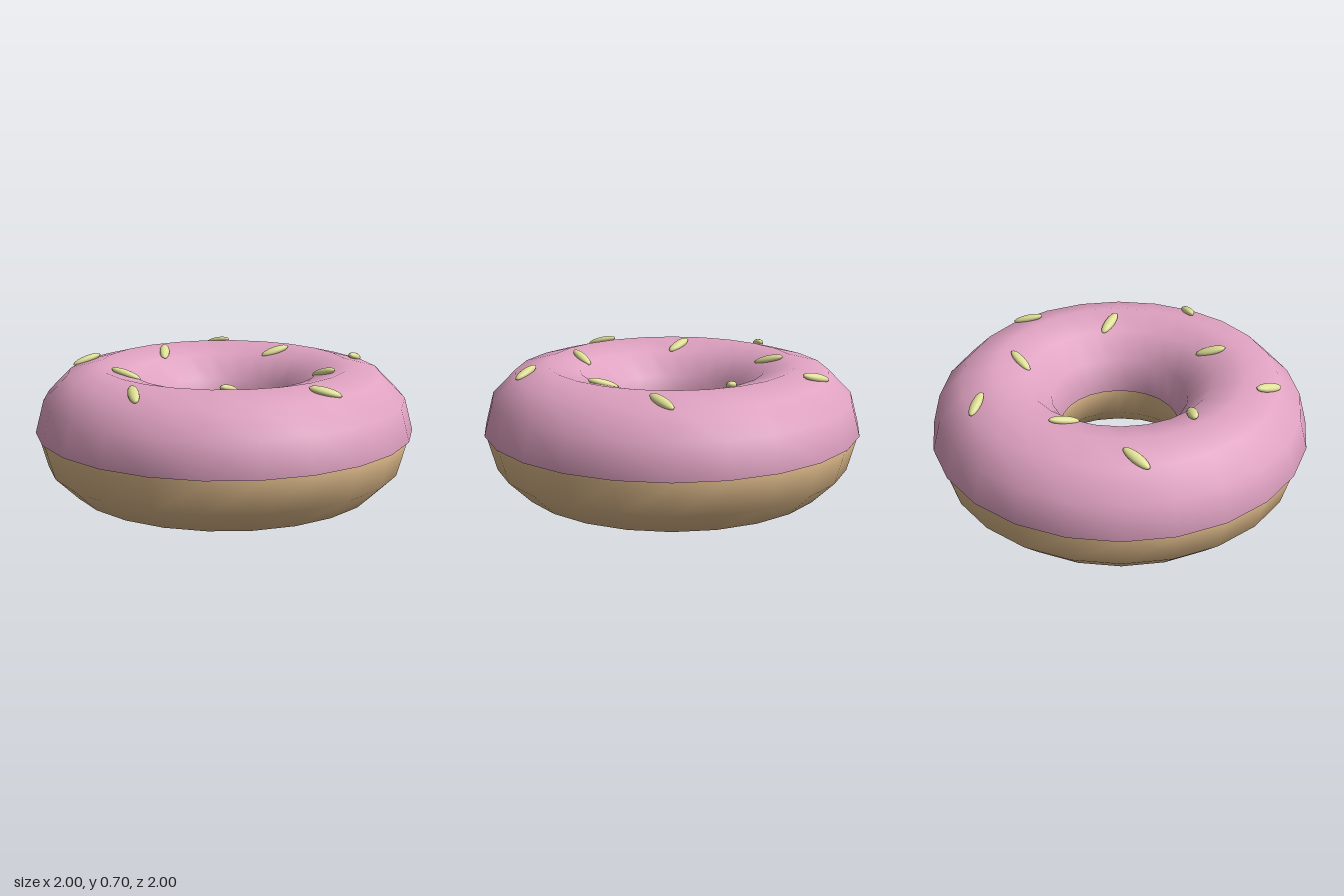
import * as THREE from 'three';

const RING = 0.657; // ring radius shared by dough and icing
const SIDES = 24;

export function createModel() {
  const dough = new THREE.MeshStandardMaterial({ color: 0xdcb889 });
  dough.name = 'dough';
  const icing = new THREE.MeshStandardMaterial({ color: 0xe0a2c2, side: THREE.DoubleSide });
  icing.name = 'pinkIcing';
  const yellow = new THREE.MeshStandardMaterial({ color: 0xdfdf96 });
  yellow.name = 'paleYellow';

  const group = new THREE.Group();
  group.name = 'donut';
  const add = (name, geometry, material) => {
    const mesh = new THREE.Mesh(geometry, material);
    mesh.name = name;
    group.add(mesh);
    return mesh;
  };

  // Dough ring
  const ring = new THREE.TorusGeometry(RING, 0.327, 12, SIDES).rotateX(-Math.PI / 2);
  add('doughRing', ring, dough).position.y = 0.327;

  // Icing: upper half of a slightly larger ring, open underneath
  const tube = 0.342, icingY = 0.348;
  const profile = [];
  for (let i = 0; i <= 6; i++) {
    const a = (i * Math.PI) / 6;
    profile.push(new THREE.Vector2(RING + tube * Math.cos(a), tube * Math.sin(a)));
  }
  const cap = new THREE.LatheGeometry(profile, SIDES);
  // Exact ring normals so the open rims shade smoothly
  const pos = cap.attributes.position, p = new THREE.Vector3(), core = new THREE.Vector3();
  for (let i = 0; i < pos.count; i++) {
    p.fromBufferAttribute(pos, i);
    core.set(p.x, 0, p.z).setLength(RING);
    p.sub(core).normalize();
    cap.attributes.normal.setXYZ(i, p.x, p.y, p.z);
  }
  add('icing', cap, icing).position.y = icingY;

  // Sprinkles: x, z and heading (dx, dz), lying along the icing surface
  const sprinkles = [
    [-0.45, -0.64, 16, 3], [0.005, -0.54, 10, -13], [0.465, -0.627, 4, 16],
    [-0.508, -0.175, 9, 13], [0.51, -0.165, 15, 6], [-0.742, 0.228, 8, -15],
    [-0.32, 0.425, 15, -6], [0.31, 0.432, 0, 1], [0.735, 0.245, 15, -8],
    [-0.012, 0.772, 12, 12],
  ];
  const grain = new THREE.SphereGeometry(1, 16, 10).scale(0.083, 0.021, 0.028);
  sprinkles.forEach(([x, z, dx, dz], i) => {
    const rho = Math.hypot(x, z);
    const lean = (rho - RING) / 0.34;
    const rise = Math.sqrt(1 - lean * lean);
    const up = new THREE.Vector3((x / rho) * lean, rise, (z / rho) * lean);
    const along = new THREE.Vector3(dx, -(dx * up.x + dz * up.z) / rise, dz).normalize();
    const across = new THREE.Vector3().crossVectors(along, up);
    const mesh = add(`sprinkle${i + 1}`, grain, yellow);
    mesh.quaternion.setFromRotationMatrix(new THREE.Matrix4().makeBasis(along, up, across));
    mesh.position.set(x, icingY + 0.34 * rise, z);
  });

  return group;
}
